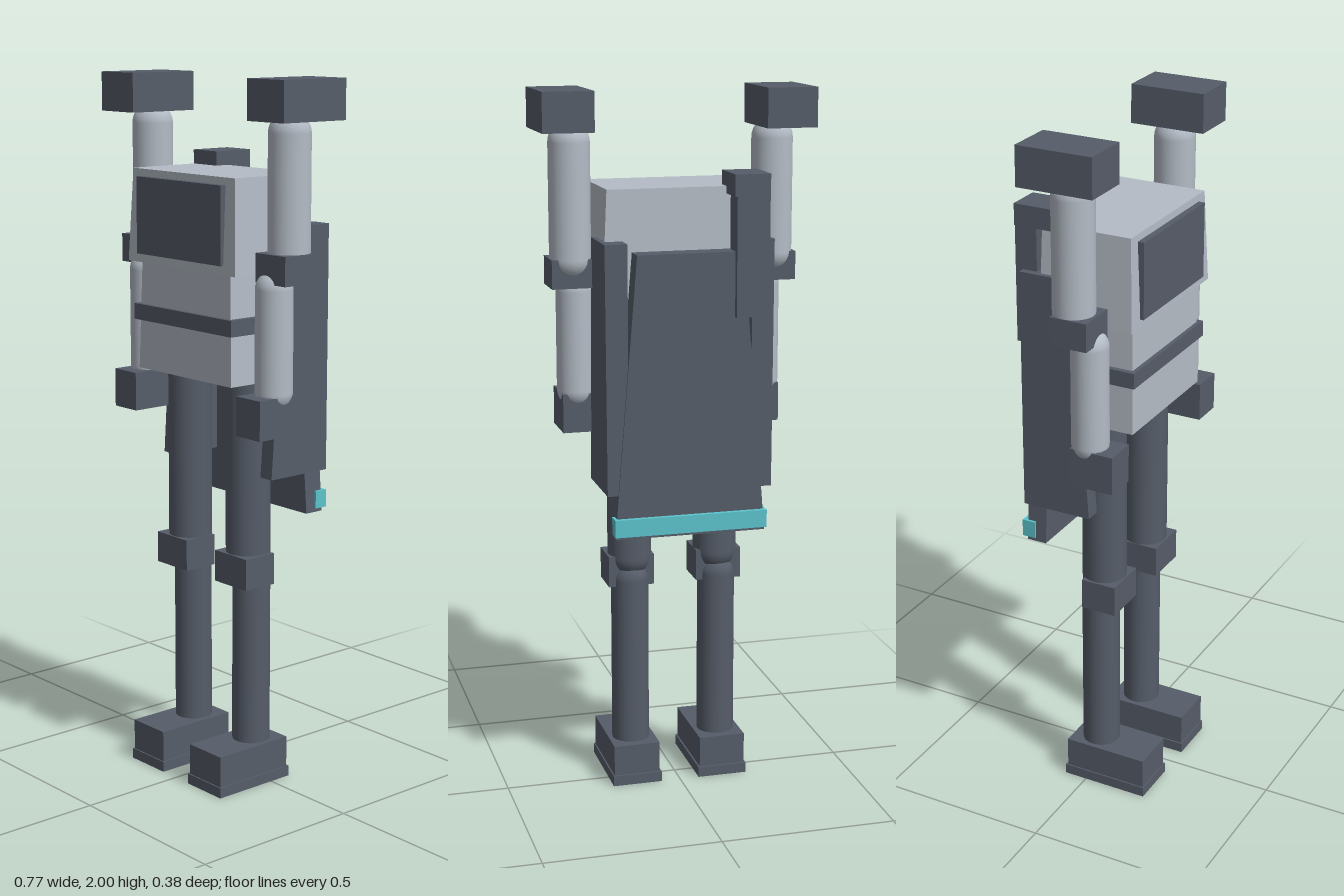
import * as THREE from 'three';

const dark = new THREE.MeshStandardMaterial({ name: 'dark slate', color: 0x565d69 });
const light = new THREE.MeshStandardMaterial({ name: 'light grey', color: 0xb4bcc6 });
const teal = new THREE.MeshStandardMaterial({ name: 'teal', color: 0x5cc4cc });

export function createModel() {
  const model = new THREE.Group();
  model.name = 'robot';

  const add = (parent, name, geometry, material) => {
    const mesh = new THREE.Mesh(geometry, material);
    mesh.name = name;
    parent.add(mesh);
    return mesh;
  };

  // Box given by its limits; optional top limits make it taper
  const box = (parent, name, material, [x0, x1], [y0, y1], [z0, z1], topX = [x0, x1], topZ = [z0, z1]) => {
    const g = new THREE.BoxGeometry(1, 1, 1);
    const p = g.attributes.position;
    for (let i = 0; i < p.count; i++) {
      const top = p.getY(i) > 0;
      const xs = top ? topX : [x0, x1];
      const zs = top ? topZ : [z0, z1];
      p.setXYZ(i, xs[p.getX(i) > 0 ? 1 : 0], top ? y1 : y0, zs[p.getZ(i) > 0 ? 1 : 0]);
    }
    g.computeVertexNormals();
    return add(parent, name, g, material);
  };

  // Upright round-ended limb between two heights
  const limb = (parent, name, material, x, z, r, y0, y1) => {
    const mesh = add(parent, name, new THREE.CapsuleGeometry(r, y1 - y0 - 2 * r, 8, 24), material);
    mesh.position.set(x, (y0 + y1) / 2, z);
  };

  // Head and torso
  box(model, 'head', light, [-0.23, 0.23], [1.48, 1.74], [-0.112, 0.165], [-0.217, 0.217], [-0.107, 0.155]);
  box(model, 'facePanel', dark, [-0.18, 0.18], [1.505, 1.72], [0.15, 0.174]);
  box(model, 'torso', light, [-0.2, 0.2], [1.175, 1.48], [-0.1, 0.153], [-0.19, 0.19], [-0.1, 0.147]);
  box(model, 'belt', dark, [-0.21, 0.21], [1.315, 1.36], [-0.105, 0.162]);

  // Back plate, trim and mast
  box(model, 'backPlate', dark, [-0.215, 0.215], [0.78, 1.57], [-0.115, -0.174], [-0.15, 0.15])
    .geometry.index.array.reverse();
  model.children.at(-1).geometry.computeVertexNormals();
  box(model, 'backTrim', teal, [-0.218, 0.218], [0.79, 0.84], [-0.188, -0.148]);
  box(model, 'mast', dark, [-0.218, -0.125], [1.39, 1.74], [-0.19, -0.125]);
  box(model, 'mastCap', dark, [-0.218, -0.118], [1.72, 1.78], [-0.192, -0.065]);

  // Paired parts
  for (const s of [1, -1]) {
    const side = s > 0 ? 'left' : 'right';
    const span = (a, b) => (s > 0 ? [a, b] : [-b, -a]);

    const arm = new THREE.Group();
    arm.name = side + 'Arm';
    model.add(arm);
    box(arm, 'shoulderBlock', dark, span(0.242, 0.385), [1.89, 2], [-0.085, 0.135]);
    limb(arm, 'upperArm', light, s * 0.29, 0.027, 0.058, 1.48, 1.915);
    box(arm, 'elbow', dark, span(0.232, 0.35), [1.46, 1.54], [-0.014, 0.095]);
    limb(arm, 'forearm', light, s * 0.272, 0.063, 0.052, 1.11, 1.495);
    box(arm, 'hand', dark, span(0.22, 0.316), [1.045, 1.155], [0.022, 0.152]);

    const leg = new THREE.Group();
    leg.name = side + 'Leg';
    model.add(leg);
    limb(leg, 'thigh', dark, s * 0.127, 0.027, 0.063, 0.61, 1.23);
    box(leg, 'knee', dark, span(0.063, 0.196), [0.59, 0.68], [-0.01, 0.095]);
    limb(leg, 'shin', dark, s * 0.129, 0.016, 0.054, 0.06, 0.66);
    box(leg, 'shoe', dark, span(0.061, 0.196), [0.03, 0.12], [-0.062, 0.188]);
    box(leg, 'sole', dark, span(0.056, 0.2), [0, 0.03], [-0.068, 0.192]);

    // Side plate hanging behind the arm
    box(model, side + 'SidePlate', dark, span(0.175, 0.235), [0.905, 1.6], [-0.17, 0.036], span(0.175, 0.238), [-0.168, -0.01]);
  }

  return model;
}
